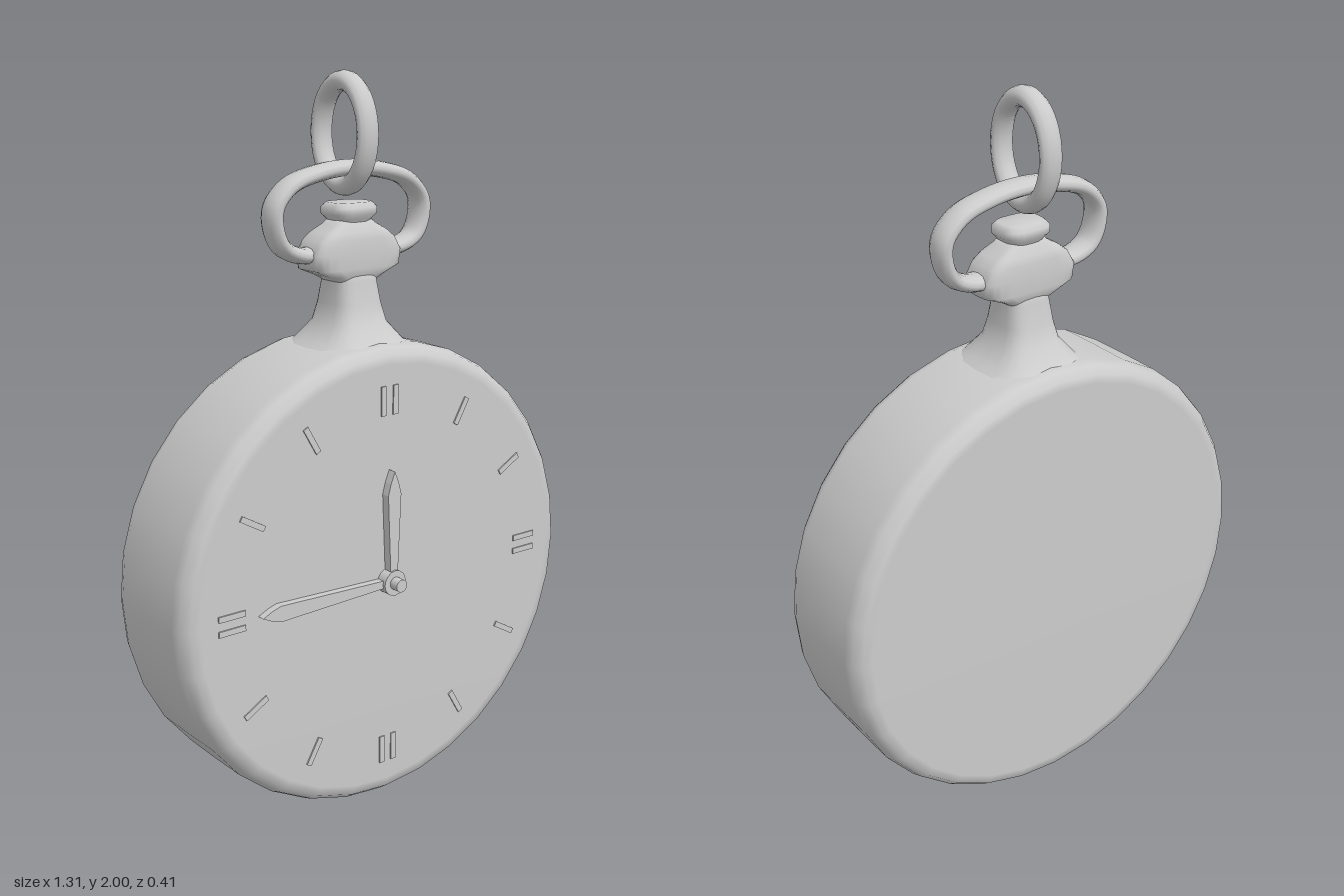
import * as THREE from 'three';

const CY = 0.655; // centre height of the case
const CZ = -0.03; // middle of the case depth
const FACE = 0.145;

const material = new THREE.MeshStandardMaterial({ color: 0xcccccc, side: THREE.DoubleSide });

function part(parent, name, geometry, x = 0, y = 0, z = 0) {
  const mesh = new THREE.Mesh(geometry, material);
  mesh.name = name;
  mesh.position.set(x, y, z);
  parent.add(mesh);
  return mesh;
}

// Loft of rounded-rectangle rings, each given as [y, halfWidth, halfDepth], capped on top
function loft(sections, sides = 24, power = 0.6) {
  const pos = [], index = [];
  const bend = v => Math.sign(v) * Math.abs(v) ** power;
  for (const [y, hx, hz] of sections) {
    for (let i = 0; i < sides; i++) {
      const a = (i / sides) * Math.PI * 2;
      pos.push(hx * bend(Math.cos(a)), y, hz * bend(Math.sin(a)));
    }
  }
  for (let s = 0; s < sections.length - 1; s++) {
    for (let i = 0; i < sides; i++) {
      const j = (i + 1) % sides;
      const a = s * sides + i, b = s * sides + j;
      index.push(a, a + sides, b, b, a + sides, b + sides);
    }
  }
  const top = (sections.length - 1) * sides;
  pos.push(0, sections[sections.length - 1][0], 0);
  for (let i = 0; i < sides; i++) index.push(top + i, top + sides, top + (i + 1) % sides);
  const g = new THREE.BufferGeometry();
  g.setAttribute('position', new THREE.Float32BufferAttribute(pos, 3));
  g.setIndex(index);
  g.computeVertexNormals();
  return g;
}

// Tapered hand pointing up from its pivot
function handGeometry(length, baseHalf, wideHalf, wideAt, depth) {
  const s = new THREE.Shape([
    [-baseHalf, 0], [baseHalf, 0], [wideHalf, wideAt], [wideHalf * 0.6, (wideAt + length) / 2],
    [0, length], [-wideHalf * 0.6, (wideAt + length) / 2], [-wideHalf, wideAt],
  ].map(([x, y]) => new THREE.Vector2(x, y)));
  return new THREE.ExtrudeGeometry(s, { depth, bevelEnabled: false });
}

export function createModel() {
  const watch = new THREE.Group();
  watch.name = 'pocketWatch';

  // Case: drum with softly shaded chamfered rims, turned to face +z
  const profile = [
    [0, -0.175], [0.6, -0.175], [0.625, -0.174], [0.643, -0.15], [0.652, -0.125],
    [0.653, 0], [0.652, 0.125], [0.643, 0.15], [0.625, 0.174], [0.6, 0.175], [0, 0.175],
  ].map(([r, z]) => new THREE.Vector2(r, z));
  const caseGeometry = new THREE.LatheGeometry(profile, 32);
  caseGeometry.rotateX(Math.PI / 2);
  part(watch, 'case', caseGeometry, 0, CY, CZ);

  // Hour marks: plain bars, doubled at the quarters
  const marks = new THREE.Group();
  marks.name = 'hourMarks';
  marks.position.set(0, CY, FACE);
  watch.add(marks);
  for (let h = 0; h < 12; h++) {
    const spoke = new THREE.Group();
    spoke.name = 'hourMark';
    spoke.rotation.z = -h * Math.PI / 6;
    marks.add(spoke);
    for (const x of h % 3 === 0 ? [-0.02, 0.02] : [0]) {
      part(spoke, 'markBar', new THREE.BoxGeometry(0.016, 0.08, 0.008), x, 0.505, 0);
    }
  }

  // Hands and centre pin
  part(watch, 'hourHand', handGeometry(0.315, 0.011, 0.022, 0.25, 0.025), 0, CY, 0.147);
  const minuteHand = part(watch, 'minuteHand', handGeometry(0.425, 0.01, 0.022, 0.37, 0.022), 0, CY, 0.146);
  minuteHand.rotation.z = Math.PI / 2;
  for (const [name, r, z0, z1] of [['handHub', 0.036, 0.14, 0.177], ['centrePin', 0.018, 0.14, 0.205]]) {
    const g = new THREE.CylinderGeometry(r, r, z1 - z0, 16).rotateX(Math.PI / 2);
    part(watch, name, g, 0, CY, (z0 + z1) / 2);
  }

  // Neck flaring out of the case
  part(watch, 'neck', loft([
    [1.23, 0.24, 0.172], [1.27, 0.185, 0.165], [1.3, 0.125, 0.135], [1.35, 0.085, 0.092],
    [1.4, 0.072, 0.078], [1.46, 0.065, 0.064], [1.5, 0.065, 0.06],
  ]), 0, 0, CZ);

  // Wide collar holding the bail
  part(watch, 'collar', loft([
    [1.455, 0.055, 0.05], [1.475, 0.09, 0.062], [1.495, 0.14, 0.066], [1.535, 0.146, 0.066],
    [1.57, 0.125, 0.064], [1.59, 0.1, 0.058], [1.61, 0.065, 0.045], [1.62, 0.055, 0.04],
  ], 24, 0.45), 0, 0, CZ);

  // Winding knob
  part(watch, 'windingKnob', loft([
    [1.605, 0.052, 0.04], [1.62, 0.056, 0.045], [1.635, 0.07, 0.058], [1.652, 0.07, 0.058],
    [1.665, 0.058, 0.045],
  ]), 0, 0, CZ);

  // Bail: flattened loop springing from both ends of the collar
  const half = [[0.1, 1.535], [0.16, 1.535], [0.215, 1.56], [0.24, 1.61], [0.238, 1.665], [0.19, 1.715], [0.1, 1.743]];
  const loop = [...half, [0, 1.752], ...half.map(([x, y]) => [-x, y]).reverse()];
  const bailCurve = new THREE.CatmullRomCurve3(loop.map(([x, y]) => new THREE.Vector3(x, y, 0)));
  const bailGeometry = new THREE.TubeGeometry(bailCurve, 64, 0.022, 12);
  bailGeometry.scale(1, 1, 1.85);
  part(watch, 'bail', bailGeometry, 0, 0, CZ - 0.002);

  // Chain ring: upright oval linked through the bail
  const ringGeometry = new THREE.TorusGeometry(0.1, 0.02, 12, 40);
  ringGeometry.rotateY(Math.PI / 2);
  ringGeometry.scale(1.6, 1.333, 1);
  part(watch, 'chainRing', ringGeometry, -0.015, 1.84, CZ);

  return watch;
}
